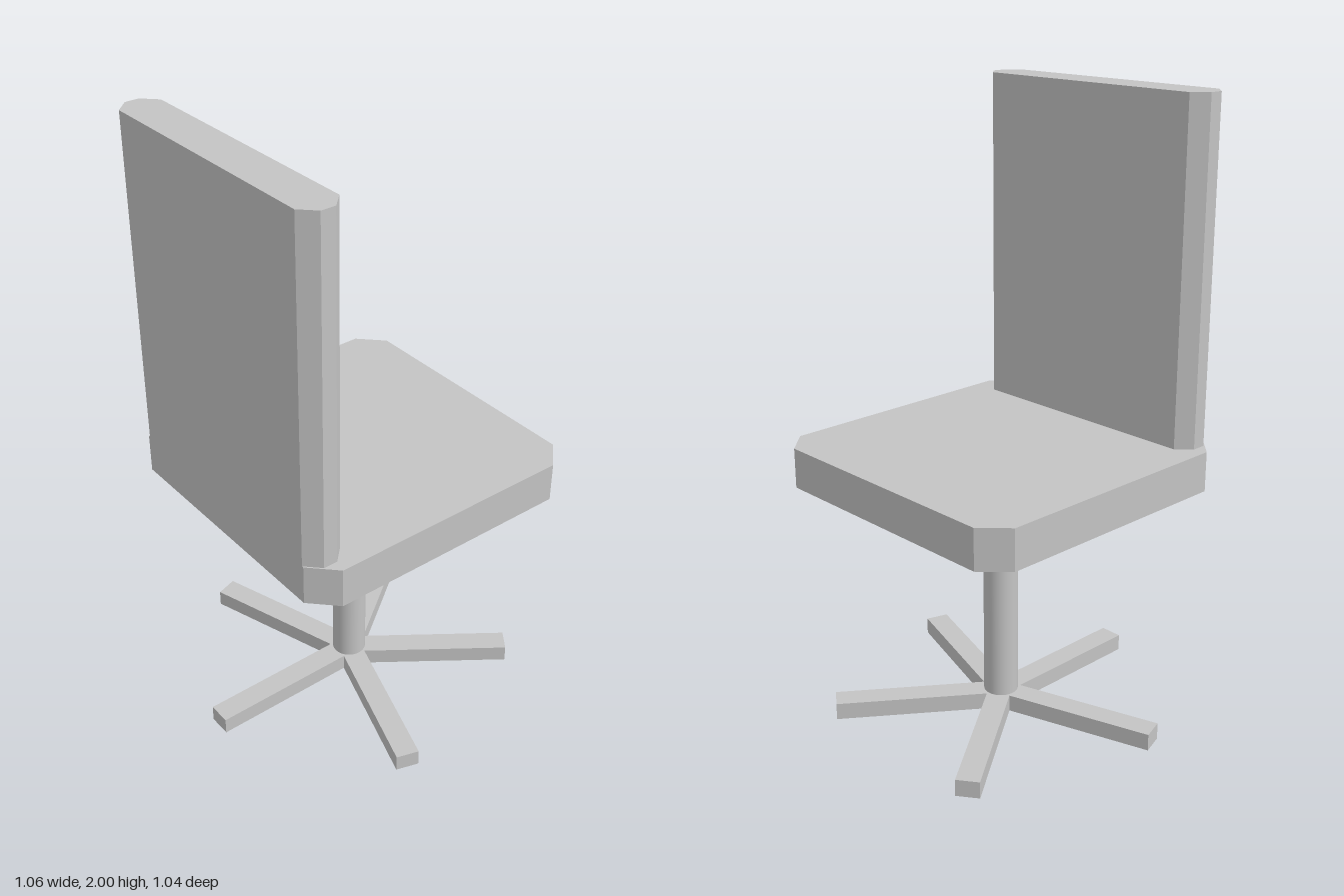
import * as THREE from 'three';

const GREY = new THREE.MeshStandardMaterial({ color: 0xc4c4c4 });
GREY.name = 'grey';

// Upright prism from an outline of [x, z] points, between two heights
function prism(name, outline, bottom, top) {
  const shape = new THREE.Shape(outline.map(([x, z]) => new THREE.Vector2(x, z)));
  const geometry = new THREE.ExtrudeGeometry(shape, { depth: top - bottom, bevelEnabled: false });
  geometry.rotateX(Math.PI / 2);
  geometry.translate(0, top, 0);
  const mesh = new THREE.Mesh(geometry, GREY);
  mesh.name = name;
  return mesh;
}

// Rectangle with cut corners, symmetric about x = 0
function cutRectangle(halfWidth, z0, z1, cut) {
  const w = halfWidth, v = halfWidth - cut;
  return [[-v, z0], [v, z0], [w, z0 + cut], [w, z1 - cut],
    [v, z1], [-v, z1], [-w, z1 - cut], [-w, z0 + cut]];
}

// Outline of straight spokes meeting at a hub
function starOutline(count, length, halfWidth, centreZ) {
  const points = [];
  const step = (2 * Math.PI) / count;
  const notch = halfWidth / Math.sin(step / 2);
  for (let i = 0; i < count; i++) {
    const a = i * step;
    const s = Math.sin(a), c = Math.cos(a);
    for (const side of [-halfWidth, halfWidth]) {
      points.push([s * length + c * side, centreZ + c * length - s * side]);
    }
    const b = a + step / 2;
    points.push([Math.sin(b) * notch, centreZ + Math.cos(b) * notch]);
  }
  return points;
}

export function createModel() {
  const chair = new THREE.Group();
  chair.name = 'swivelChair';
  const centreZ = -0.03;

  // Five-spoke foot
  chair.add(prism('starBase', starOutline(5, 0.546, 0.038, centreZ), 0, 0.056));

  // Round post
  const column = new THREE.Mesh(new THREE.CylinderGeometry(0.056, 0.056, 0.735, 48), GREY);
  column.name = 'column';
  column.position.set(0, 0.056 + 0.735 / 2, centreZ);
  chair.add(column);

  // Seat and the backrest standing on its rear edge
  chair.add(prism('seat', cutRectangle(0.49, -0.52, 0.457, 0.079), 0.791, 0.921));
  chair.add(prism('backrest', cutRectangle(0.449, 0.323, 0.457, 0.044), 0.921, 2));

  return chair;
}
